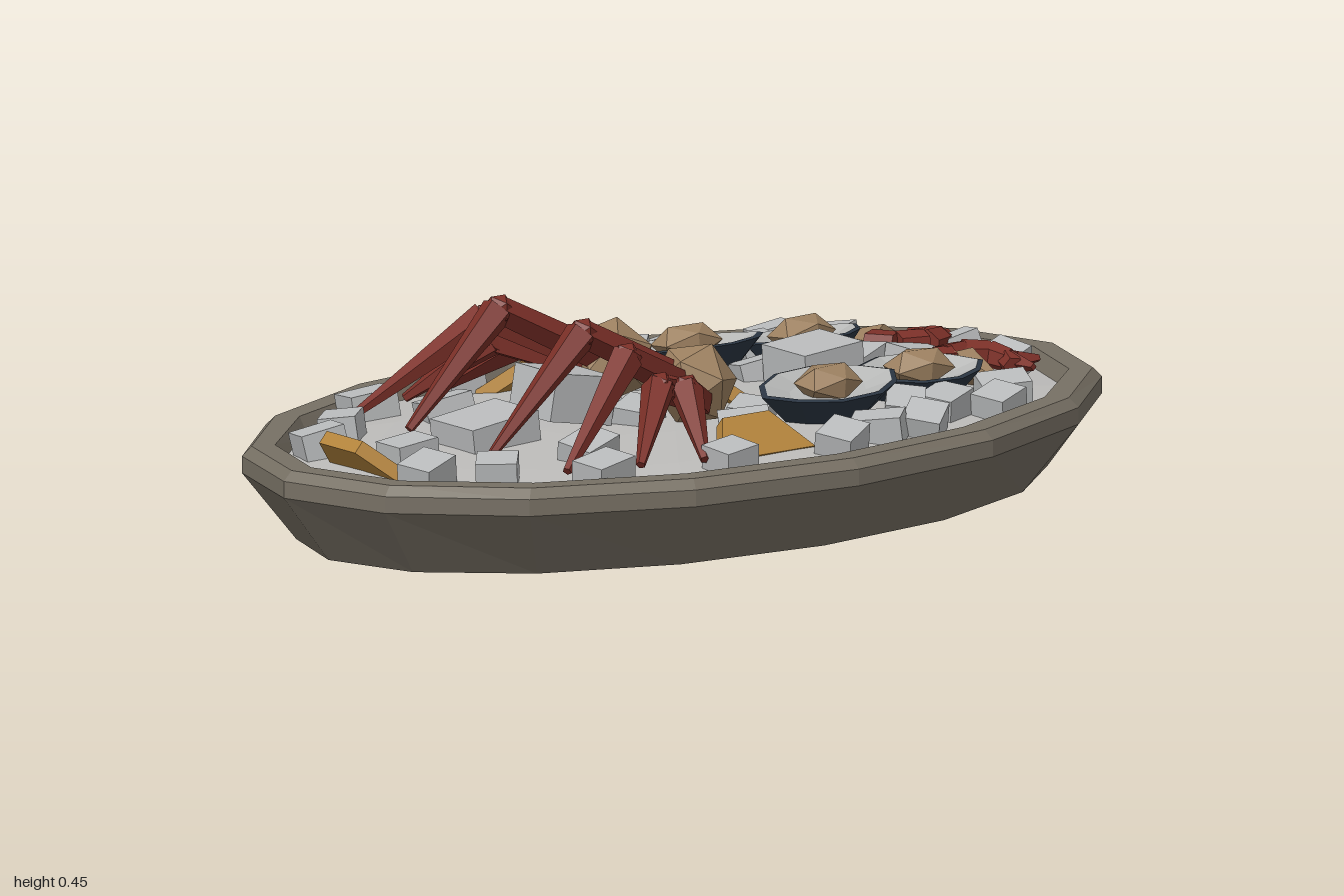
import * as THREE from 'three';

const mat = (name, color) => Object.assign(new THREE.MeshStandardMaterial({ color }), { name });
const V = (x, y, z) => new THREE.Vector3(x, y, z);

export function createModel() {
  const root = new THREE.Group();
  root.name = 'seafoodPlatter';
  const M = {
    tray: mat('stoneTray', 0x777064),
    bed: mat('crushedIce', 0xbcbbb9),
    ice: mat('iceCube', 0xb9bbbc),
    red: mat('cookedShell', 0x7c3028),
    tan: mat('shellfishMeat', 0x9c8060),
    lemon: mat('lemon', 0xb4843c),
    dark: mat('darkShell', 0x2b3643),
    pearl: mat('shellLining', 0xb8b9b8),
  };

  // Faceted mesh: every face keeps its own normal
  function add(parent, name, geo, material) {
    const g = geo.index ? geo.toNonIndexed() : geo;
    g.computeVertexNormals();
    const mesh = new THREE.Mesh(g, material);
    mesh.name = name;
    parent.add(mesh);
    return mesh;
  }

  // Skin over elliptical rings [rx, rz, y]; shape(k) varies the radius around the ring
  function loft(rings, n, shape = () => 1) {
    const pos = [];
    const at = (j, k) => {
      const [rx, rz, y] = rings[j], a = (k % n) / n * Math.PI * 2, s = shape(k % n);
      return [rx * s * Math.cos(a), y, rz * s * Math.sin(a)];
    };
    for (let j = 0; j < rings.length - 1; j++) {
      for (let k = 0; k < n; k++) {
        const a = at(j, k), b = at(j, k + 1), c = at(j + 1, k + 1), d = at(j + 1, k);
        if (rings[j + 1][0] > 0) pos.push(...a, ...d, ...c);
        if (rings[j][0] > 0) pos.push(...a, ...c, ...b);
      }
    }
    const g = new THREE.BufferGeometry();
    g.setAttribute('position', new THREE.Float32BufferAttribute(pos, 3));
    return g;
  }

  // Tapered faceted rod between two points
  function limb(parent, name, a, b, ra, rb, material, sides = 5) {
    const d = b.clone().sub(a);
    const m = add(parent, name, new THREE.CylinderGeometry(rb, ra, d.length(), sides), material);
    m.position.copy(a).add(b).multiplyScalar(0.5);
    m.quaternion.setFromUnitVectors(V(0, 1, 0), d.normalize());
  }

  // Tray with a flared wall and a raised, chamfered rim
  const inset = (i, y) => [1 - i, 0.625 - i, y];
  add(root, 'tray', loft([[0, 0, 0], inset(0.115, 0), inset(0, 0.145), inset(0, 0.18),
    inset(0.02, 0.2), inset(0.07, 0.2), inset(0.09, 0.155)], 16), M.tray);

  // Gently mounded ice bed
  add(root, 'iceBed', loft([inset(0.08, 0.165), [0.7, 0.4, 0.185], [0.35, 0.2, 0.2], [0, 0, 0.205]], 16), M.bed);

  // Ice cubes
  function cube(x, y, z, w, h, d, rx, ry, rz) {
    const m = add(root, 'iceCube', new THREE.BoxGeometry(w, h, d), M.ice);
    m.position.set(x, y, z);
    m.rotation.set(rx, ry, rz);
  }
  // Middle row: x, y, width, height, depth, tilt
  [
    [-0.68, 0.195, 0.1, 0.06, 0.08, 0.1], [-0.48, 0.21, 0.17, 0.08, 0.145, 0.12],
    [-0.28, 0.265, 0.16, 0.1, 0.14, -0.18], [0.365, 0.235, 0.15, 0.1, 0.145, 0.08],
    [0.63, 0.205, 0.1, 0.07, 0.09, -0.15],
  ].forEach(([x, y, w, h, d, tilt]) => cube(x, y, 0, w, h, d, 0, 0, tilt));
  cube(0, 0.215, 0, 0.08, 0.06, 0.08, 0, Math.PI / 4, 0);

  // Mirrored cubes: x, z, turn; size and tilt vary by rule, height follows the mound
  const scattered = [
    [-0.2, 0.455, 0.1], [0.08, 0.465, 0.5], [0.21, 0.42, -0.8], [0.32, 0.43, 0.7],
    [0.45, 0.33, 0.4], [0.63, 0.29, -0.4], [0.55, 0.38, 0.3], [0.79, 0.08, 0.3],
    [-0.48, 0.395, 0.2], [-0.65, 0.26, -0.7], [-0.77, 0.18, 0.3], [-0.02, 0.27, -0.6],
    [0.05, 0.2, 0.6], [0.31, 0.115, 0.3], [0.54, 0.07, -0.4], [0.36, 0.31, 0.9],
    [-0.14, 0.07, 0.5], [-0.4, 0.24, 0.3],
  ];
  function scatter(s) {
    scattered.forEach(([x, z, turn], i) => {
      const y = 0.215 - 0.02 * Math.hypot(x, z / 0.625);
      cube(x, y, z * s, 0.085 + (i % 3) * 0.01, 0.06, 0.08, (0.1 + (i % 2) * 0.08) * s, turn * s, 0.1 + (i % 4) * 0.04);
    });
  }

  // Lemon wedge: half hexagon slab leaning back from its straight edge
  function lemon(x, z, turn) {
    const r = 0.12, shape = new THREE.Shape();
    [0, 1, 2, 3].forEach((i) => {
      const a = i * Math.PI / 3;
      shape[i ? 'lineTo' : 'moveTo'](r * Math.cos(a), r * Math.sin(a));
    });
    const g = new THREE.ExtrudeGeometry(shape, { depth: 0.03, bevelEnabled: false });
    g.translate(0, 0, -0.03).rotateX(-0.85);
    const m = add(root, 'lemonWedge', g, M.lemon);
    m.position.set(x, 0.185, z);
    m.rotation.y = turn;
  }
  lemon(-0.765, 0, Math.PI / 2);
  lemon(0.17, 0, Math.PI / 2);

  // Open shell: dark outer bowl, pale lining, faceted meat
  const wavy = (k) => 0.98 + 0.05 * Math.cos(k * 2.5);
  function oyster(x, y, z, rx, rz, turn, tilt, s) {
    const g = new THREE.Group();
    g.name = 'openShell';
    add(g, 'outerShell', loft([[0, 0, -0.05], [rx * 0.6, rz * 0.6, -0.05], [rx, rz, 0.015],
      [rx * 0.92, rz * 0.92, 0.018]], 10, wavy), M.dark);
    add(g, 'shellLining', loft([[rx * 0.92, rz * 0.92, 0.018], [rx * 0.55, rz * 0.55, 0],
      [0, 0, -0.005]], 10, wavy), M.pearl);
    const meat = add(g, 'shellMeat', new THREE.IcosahedronGeometry(1, 0), M.tan);
    meat.scale.set(0.08, 0.042, 0.06);
    meat.position.y = 0.018;
    g.position.set(x, y, z * s);
    g.rotation.set(tilt * s, turn * s, 0);
    root.add(g);
  }

  // Crab legs: knee and tip positions
  const legs = [
    [V(-0.34, 0.425, 0.14), V(-0.57, 0.205, 0.14)],
    [V(-0.30, 0.385, 0.235), V(-0.54, 0.2, 0.35)],
    [V(-0.25, 0.325, 0.28), V(-0.385, 0.2, 0.395)],
    [V(-0.18, 0.31, 0.28), V(-0.25, 0.2, 0.435)],
  ];
  // Shrimp spine, head to tail
  const spine = [V(0.61, 0.215, 0.13), V(0.64, 0.22, 0.075), V(0.7, 0.222, 0.06),
    V(0.755, 0.22, 0.085), V(0.765, 0.215, 0.135), V(0.75, 0.21, 0.17)];

  for (const s of [1, -1]) {
    const side = (v) => V(v.x, v.y, v.z * s);
    scatter(s);
    lemon(-0.07, 0.415 * s, s > 0 ? 0 : Math.PI);
    oyster(0.22, 0.245, 0.235, 0.18, 0.11, 0.1, 0.12, s);
    oyster(0.485, 0.235, 0.195, 0.15, 0.1, -0.1, 0.1, s);

    // Crab cluster: knuckle and jointed legs
    const crab = new THREE.Group();
    crab.name = 'crabCluster';
    root.add(crab);
    const knuckle = add(crab, 'crabKnuckle', new THREE.IcosahedronGeometry(0.09, 0), M.tan);
    knuckle.position.set(-0.05, 0.28, 0.14 * s);
    knuckle.rotation.set(0.3 * s, 0.2 * s, 0.2);
    legs.forEach(([knee, tip], i) => {
      const hip = V(-0.08, 0.29 - i * 0.012, 0.125 + i * 0.022);
      limb(crab, 'upperLeg', side(hip), side(knee), 0.034, 0.03, M.red);
      limb(crab, 'lowerLeg', side(knee), side(tip), 0.036, 0.01, M.red);
      const joint = add(crab, 'kneeJoint', new THREE.IcosahedronGeometry(0.034, 0), M.red);
      joint.position.copy(side(knee));
    });

    // Curled shrimp with a pale head and forked tail
    const shrimp = new THREE.Group();
    shrimp.name = 'shrimp';
    root.add(shrimp);
    for (let i = 0; i < spine.length - 1; i++) {
      limb(shrimp, 'shrimpSegment', side(spine[i]), side(spine[i + 1]), 0.042 - i * 0.004, 0.038 - i * 0.004, M.red, 6);
    }
    limb(shrimp, 'shrimpHead', side(V(0.65, 0.22, 0.13)), side(V(0.64, 0.215, 0.25)), 0.042, 0.012, M.tan);
    for (const end of [V(0.83, 0.215, 0.15), V(0.77, 0.215, 0.21)]) {
      limb(shrimp, 'tailFin', side(spine[4]), side(end), 0.025, 0.008, M.red, 4);
    }
  }
  return root;
}
